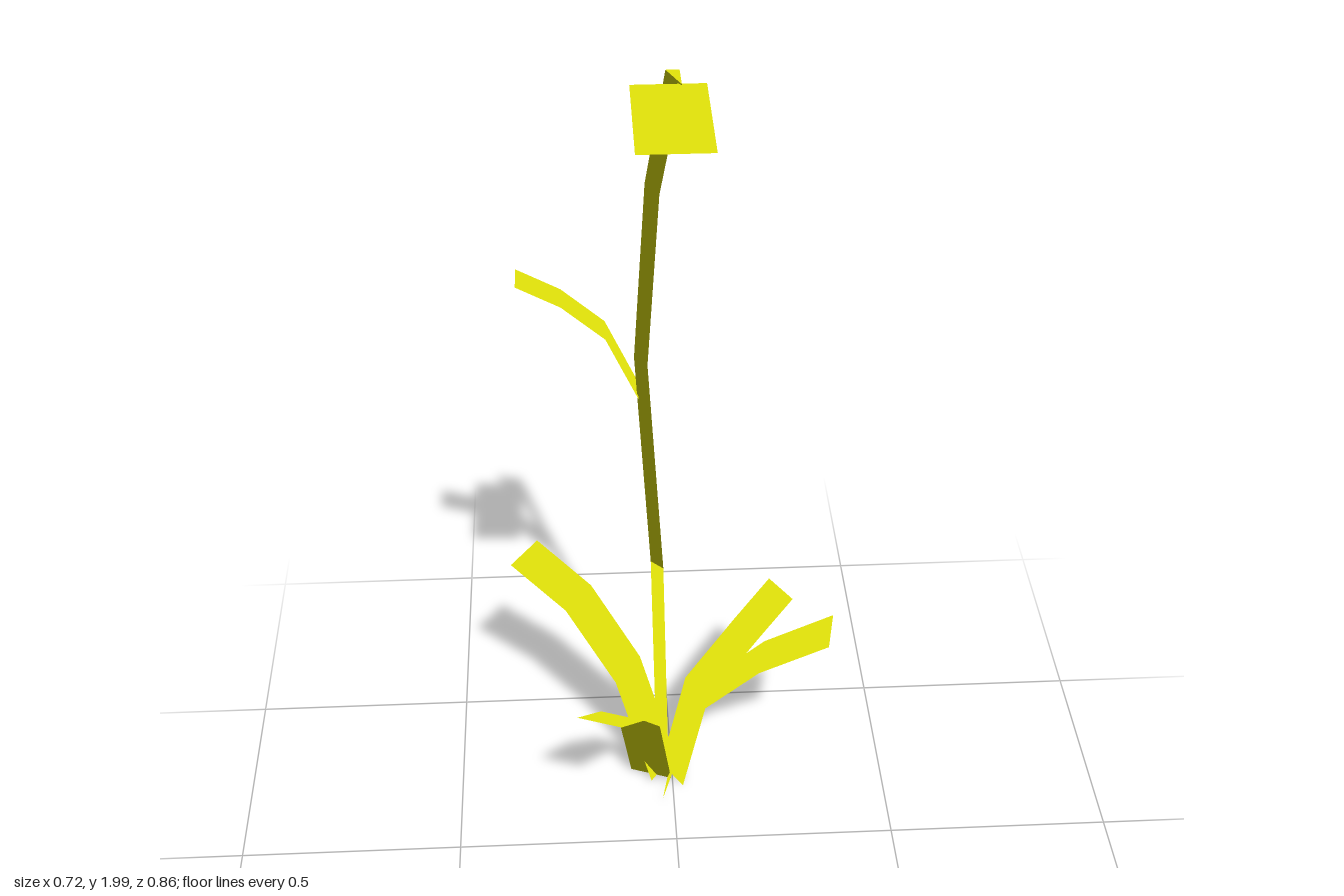
import * as THREE from 'three';

const leafYellow = new THREE.MeshStandardMaterial({ color: 0xe3e50a, side: THREE.DoubleSide });
leafYellow.name = 'leafYellow';

// Builds a mesh from triangles that are all turned to face upward and shaded
// with straight-up normals, so the foliage takes the light evenly.
function foliage(name, points, index) {
  const positions = [];
  for (let i = 0; i < index.length; i += 3) {
    const [a, b, c] = [points[index[i]], points[index[i + 1]], points[index[i + 2]]];
    const normalY = (b[2] - a[2]) * (c[0] - a[0]) - (b[0] - a[0]) * (c[2] - a[2]);
    positions.push(...a, ...(normalY < 0 ? [...c, ...b] : [...b, ...c]));
  }
  const normals = positions.map((_, i) => (i % 3 === 1 ? 1 : 0));
  const geometry = new THREE.BufferGeometry();
  geometry.setAttribute('position', new THREE.Float32BufferAttribute(positions, 3));
  geometry.setAttribute('normal', new THREE.Float32BufferAttribute(normals, 3));
  const mesh = new THREE.Mesh(geometry, leafYellow);
  mesh.name = name;
  return mesh;
}

// Joins a row of cross-sections (equal-length lists of [x, y, z]) into a surface.
function loft(name, sections, closed) {
  const n = sections[0].length;
  const index = [];
  for (let i = 0; i < sections.length - 1; i++) {
    for (let j = 0; j < (closed ? n : n - 1); j++) {
      const a = i * n + j, b = i * n + (j + 1) % n;
      index.push(a, b, b + n, a, b + n, a + n);
    }
  }
  if (closed) { // triangular end caps
    const top = (sections.length - 1) * n;
    index.push(0, 2, 1, top, top + 1, top + 2);
  }
  return foliage(name, sections.flat(), index);
}

// A flat strip following a centre line, with a constant horizontal half-width vector.
function leaf(name, path, [hx, hz]) {
  return loft(name, path.map(([x, y, z]) => [[x - hx, y, z - hz], [x + hx, y, z + hz]]), false);
}

// Three-sided stem, with each ring square to the bending centre line.
function stem() {
  const path = [
    [-0.022, 0, -0.228], [-0.032, 0.62, -0.242], [-0.063, 1.16, -0.242],
    [-0.042, 1.63, -0.112], [-0.015, 1.987, 0.166],
  ];
  const corners = [[-0.013, -0.012], [0.011, -0.012], [0.014, 0.016]];
  const rings = path.map(([x, y, z], i) => {
    const before = path[Math.max(i - 1, 0)], after = path[Math.min(i + 1, path.length - 1)];
    const angle = Math.atan2(after[2] - before[2], after[1] - before[1]);
    return corners.map(([u, v]) => [x + u, y - v * Math.sin(angle), z + v * Math.cos(angle)]);
  });
  // keep the foot flat on the ground
  rings[0].forEach((p) => { p[1] = 0; });
  return loft('stem', rings, true);
}

export function createModel() {
  const model = new THREE.Group();
  model.name = 'plant';
  model.add(stem());

  // Four arching leaves around the foot
  model.add(leaf('backRightLeaf',
    [[-0.02, 0, -0.24], [-0.1, 0.28, -0.28], [-0.21, 0.46, -0.33], [-0.332, 0.555, -0.385]], [0.03, -0.045]));
  model.add(leaf('backLeftLeaf',
    [[0, 0, -0.215], [0.06, 0.24, -0.25], [0.18, 0.36, -0.318], [0.264, 0.435, -0.37]], [0.024, 0.04]));
  model.add(leaf('leftLeaf',
    [[-0.015, 0, -0.188], [0.055, 0.27, -0.175], [0.2, 0.42, -0.145], [0.35, 0.515, -0.115]], [-0.011, 0.055]));
  model.add(leaf('frontRightLeaf',
    [[-0.05, 0, -0.22], [-0.08, 0.25, -0.13], [-0.12, 0.37, -0.02], [-0.172, 0.465, 0.103]], [-0.047, -0.018]));

  // Small leaf half-way up the stem
  model.add(leaf('stemLeaf',
    [[-0.068, 1.065, -0.277], [-0.135, 1.215, -0.277], [-0.225, 1.295, -0.277], [-0.316, 1.345, -0.277]], [0, -0.037]));

  // Level flower plate at the tip
  model.add(leaf('flower', [[-0.024, 1.975, 0.171], [-0.024, 1.975, 0.431]], [0.066, 0]));
  return model;
}
